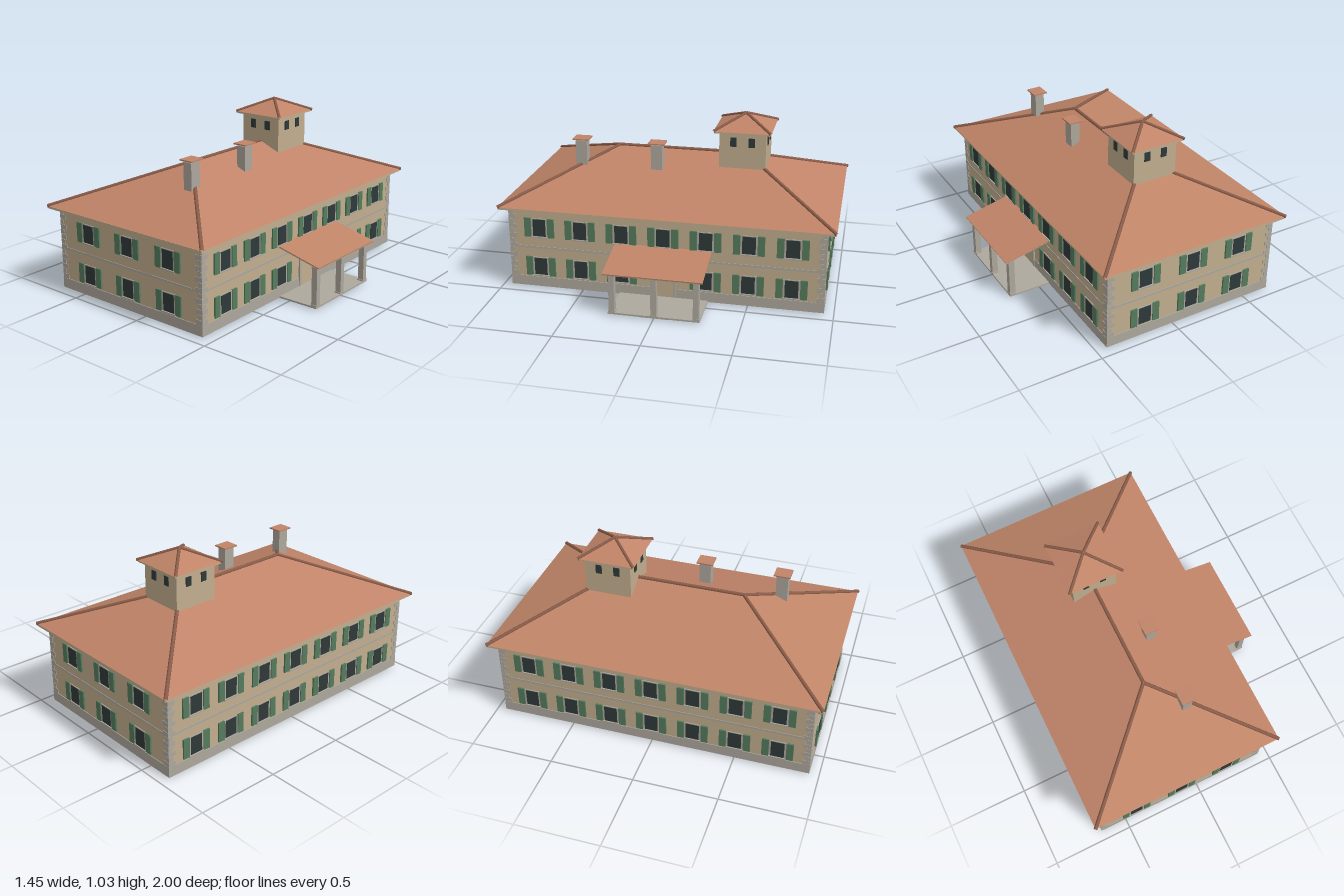
import * as THREE from 'three';

const mat = (name, color) => Object.assign(new THREE.MeshStandardMaterial({ color }), { name });
const M = {
  wall: mat('ochre plaster', 0xc2ae8e),
  stone: mat('grey stone', 0xaea89d),
  roof: mat('terracotta', 0xc08468),
  ridge: mat('dark ridge tile', 0x8a5c49),
  shutter: mat('green shutter', 0x557c5d),
  glass: mat('dark glass', 0x2f3a39),
};

const CX = -0.114;               // house centre in x
const HX = 0.549, HZ = 0.94;     // half sizes of the walls

// box given by its centre in x and z, and by bottom and top in y
function box(parent, name, material, x, z, w, d, y0, y1) {
  const m = new THREE.Mesh(new THREE.BoxGeometry(w, y1 - y0, d), material);
  m.position.set(x, (y0 + y1) / 2, z);
  m.name = name;
  parent.add(m);
  return m;
}

function group(parent, name, x = 0, y = 0, z = 0) {
  const g = new THREE.Group();
  g.name = name;
  g.position.set(x, y, z);
  parent.add(g);
  return g;
}

// round tile row between two points
function tileRow(parent, a, b, r) {
  const geo = new THREE.TubeGeometry(new THREE.LineCurve3(a, b), 1, r, 8);
  const m = new THREE.Mesh(geo, M.ridge);
  m.name = 'ridgeTiles';
  parent.add(m);
}

// hipped roof with its ridge along z (ridge = half ridge length)
function hipRoof(parent, name, hx, hz, ridge, y0, y1, r) {
  const g = group(parent, name, 0, 0, 0);
  const V = (x, y, z) => new THREE.Vector3(x, y, z);
  const [a, b, c, d] = [V(-hx, y0, hz), V(hx, y0, hz), V(hx, y0, -hz), V(-hx, y0, -hz)];
  const f = V(0, y1, ridge), k = V(0, y1, -ridge);
  const tris = [a, b, f, b, c, k, c, d, k, d, a, f, a, d, c, a, c, b];
  if (ridge > 0) tris.push(b, k, f, d, f, k);
  const geo = new THREE.BufferGeometry().setFromPoints(tris);
  geo.computeVertexNormals();
  const m = new THREE.Mesh(geo, M.roof);
  m.name = 'roofSlopes';
  g.add(m);
  for (const [p, q] of [[a, f], [b, f], [c, k], [d, k]]) tileRow(g, p, q, r);
  if (ridge > 0) tileRow(g, f, k, r);
  return g;
}

// shuttered window on a wall facing local +z
function windowUnit(parent, x, y0) {
  const g = group(parent, 'window', x, y0, 0);
  box(g, 'windowFrame', M.stone, 0, 0.002, 0.1, 0.006, 0, 0.118);
  box(g, 'windowGlass', M.glass, 0, 0.004, 0.078, 0.006, 0.006, 0.113);
  box(g, 'windowSill', M.stone, 0, 0.005, 0.106, 0.014, -0.005, 0.004);
  for (const s of [-1, 1])
    box(g, 'shutter', M.shutter, s * 0.071, 0.005, 0.041, 0.01, 0, 0.12);
}

// one side of the house: windows and corner stones
function facade(parent, name, x, z, turn, half, offsets, hasDoor) {
  const g = group(parent, name, x, 0, z);
  g.rotation.y = turn;
  for (const o of offsets) {
    windowUnit(g, o, 0.333);
    if (!(hasDoor && o === 0)) windowUnit(g, o, 0.083);
  }
  const n = 14, h = 0.43 / n;
  for (let i = 0; i < n; i++) {
    const w = i % 2 ? 0.028 : 0.046;
    for (const s of [-1, 1])
      box(g, 'cornerStone', M.stone, s * (half + 0.003 - w / 2), 0.001, w, 0.004,
        0.072 + i * h, 0.072 + (i + 0.94) * h);
  }
  if (hasDoor) {
    box(g, 'doorPanel', M.wall, 0, 0.002, 0.12, 0.006, 0.02, 0.205);
    for (const s of [-1, 1])
      box(g, 'doorJamb', M.stone, s * 0.068, 0.004, 0.016, 0.01, 0.02, 0.22);
    box(g, 'doorLintel', M.stone, 0, 0.004, 0.12, 0.01, 0.204, 0.22);
  }
}

function chimney(parent, x, z) {
  const g = group(parent, 'chimney', x, 0, z);
  box(g, 'chimneyStack', M.stone, 0, 0, 0.058, 0.07, 0.67, 0.835);
  for (const s of [-1, 1])
    box(g, 'capSupport', M.stone, s * 0.02, 0, 0.008, 0.012, 0.83, 0.845);
  box(g, 'chimneyCap', M.roof, 0, 0, 0.09, 0.1, 0.843, 0.851);
}

function tower(parent) {
  const g = group(parent, 'tower', CX, 0, -0.393);
  box(g, 'towerWalls', M.wall, 0, 0, 0.28, 0.28, 0.6, 0.93);
  box(g, 'towerCornice', M.wall, 0, 0, 0.335, 0.335, 0.925, 0.937);
  hipRoof(g, 'towerRoof', 0.173, 0.173, 0, 0.937, 1.016, 0.0095);
  for (let i = 0; i < 4; i++) {
    const side = group(g, 'towerSide');
    side.rotation.y = i * Math.PI / 2;
    for (const s of [-1, 1])
      box(side, 'towerWindow', M.glass, s * 0.055, 0.141, 0.037, 0.008, 0.842, 0.898);
  }
}

function porch(parent) {
  const g = group(parent, 'porch');
  box(g, 'porchFloor', M.stone, 0.566, 0, 0.262, 0.535, 0.008, 0.018);
  box(g, 'porchStep', M.stone, 0.65, 0, 0.07, 0.16, 0, 0.009);
  for (const z of [-0.245, 0, 0.245]) {
    box(g, 'porchPost', M.stone, 0.677, z, 0.036, 0.033, 0.016, 0.255);
    box(g, 'postBase', M.stone, 0.677, z, 0.038, 0.042, 0.016, 0.026);
    box(g, 'postCapital', M.stone, 0.677, z, 0.038, 0.042, 0.245, 0.256);
  }
  box(g, 'porchBeam', M.wall, 0.677, 0, 0.022, 0.53, 0.255, 0.271);
  // sloping roof: tiles over boards
  const roof = group(g, 'porchRoof', 0.579, 0.297, 0);
  roof.rotation.z = -0.234;
  box(roof, 'roofBoards', M.wall, 0, 0, 0.292, 0.572, -0.004, 0.002);
  box(roof, 'roofTiles', M.roof, 0, 0, 0.294, 0.576, 0.002, 0.006);
}

export function createModel() {
  const model = new THREE.Group();
  model.name = 'villa';

  // body
  box(model, 'walls', M.wall, CX, 0, HX * 2, HZ * 2, 0.009, 0.51);
  box(model, 'plinth', M.stone, CX, 0, HX * 2 + 0.008, HZ * 2 + 0.008, 0.01, 0.072);
  box(model, 'stringCourse', M.stone, CX, 0, HX * 2 + 0.006, HZ * 2 + 0.006, 0.258, 0.271);
  box(model, 'eavesBoard', M.wall, CX, 0, 1.19, 1.98, 0.506, 0.519);

  // four sides
  const short = [-0.311, 0, 0.311];
  const long = [-3, -2, -1, 0, 1, 2, 3].map(i => i * 0.251);
  facade(model, 'frontSide', CX, HZ, 0, HX, short, false);
  facade(model, 'backSide', CX, -HZ, Math.PI, HX, short, false);
  facade(model, 'porchSide', CX + HX, 0, Math.PI / 2, HZ, long, true);
  facade(model, 'plainSide', CX - HX, 0, -Math.PI / 2, HZ, long, false);

  // roof and what stands on it
  hipRoof(model, 'mainRoof', 0.6, 0.993, 0.395, 0.521, 0.765, 0.011).position.x = CX;
  tower(model);
  chimney(model, 0.057, 0.118);
  chimney(model, 0.057, 0.588);

  porch(model);
  return model;
}
